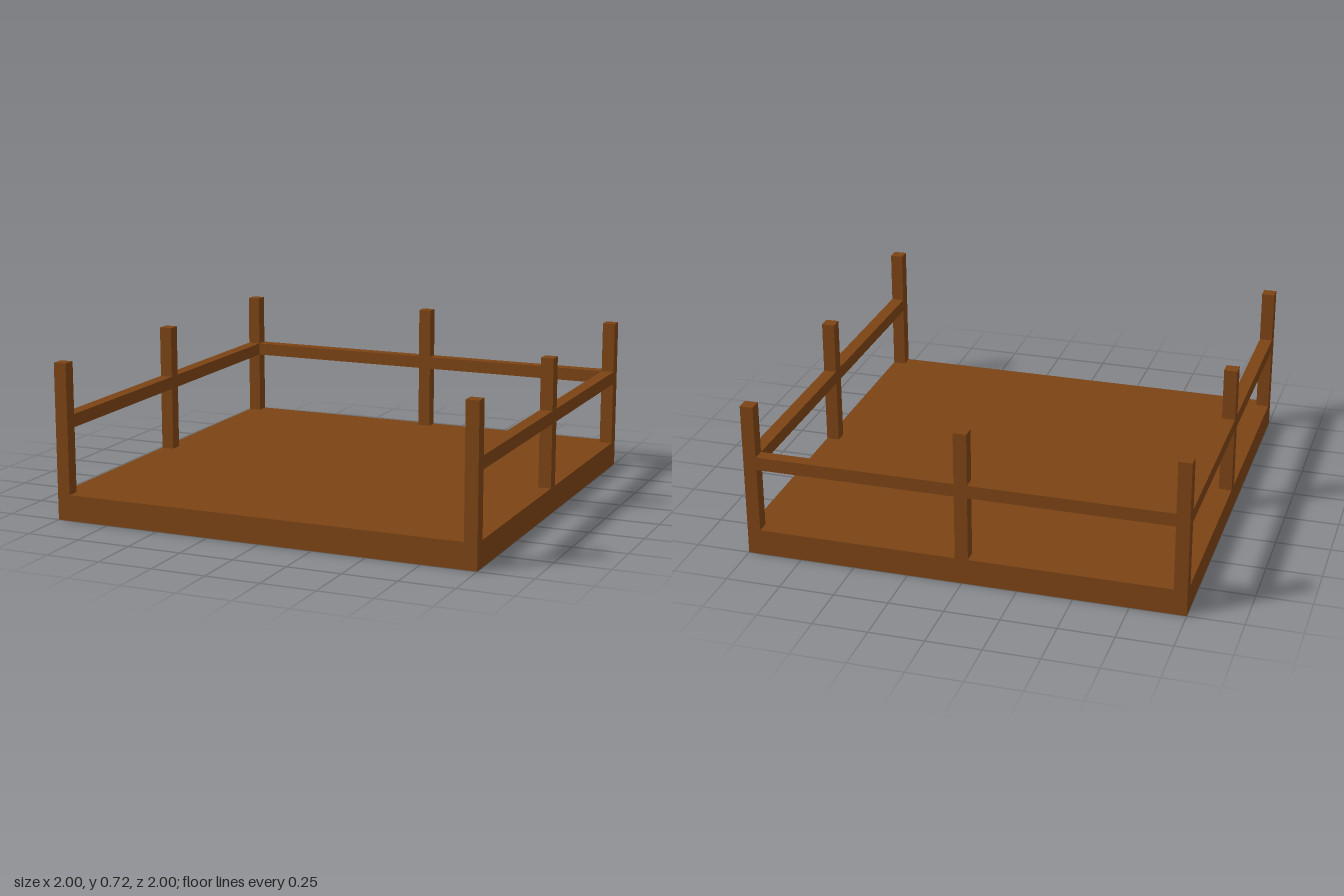
import * as THREE from 'three';

export function createModel() {
  const group = new THREE.Group();
  const wood = new THREE.MeshStandardMaterial({ color: 0x7b4314 });
  const base = 0.12, top = 0.72, t = 0.06; // deck top, post top, timber thickness
  const edge = 1 - t / 2; // centreline of the fence

  const box = (name, w, h, d, x, y, z) => {
    const mesh = new THREE.Mesh(new THREE.BoxGeometry(w, h, d), wood);
    mesh.name = name;
    mesh.position.set(x, y, z);
    group.add(mesh);
  };
  const post = (name, x, z) => box(name, t, top - base, t, x, (base + top) / 2, z);

  // Solid deck
  box('deck', 2, base, 2, 0, base / 2, 0);

  // Posts: both sides, plus the middle of the back; the front stays open
  for (const [side, x] of [['left', edge], ['right', -edge]]) {
    post(side + 'FrontPost', x, edge);
    post(side + 'MiddlePost', x, 0);
    post(side + 'BackPost', x, -edge);
  }
  post('backMiddlePost', 0, -edge);

  // Rails fitted between neighbouring posts
  const railY = 0.45, span = edge - t;
  for (const s of [1, -1]) {
    const side = s > 0 ? 'left' : 'right';
    box(side + 'FrontRail', t, t, span, s * edge, railY, edge / 2);
    box(side + 'RearRail', t, t, span, s * edge, railY, -edge / 2);
    box(side + 'BackRail', span, t, t, s * edge / 2, railY, -edge);
  }
  return group;
}
